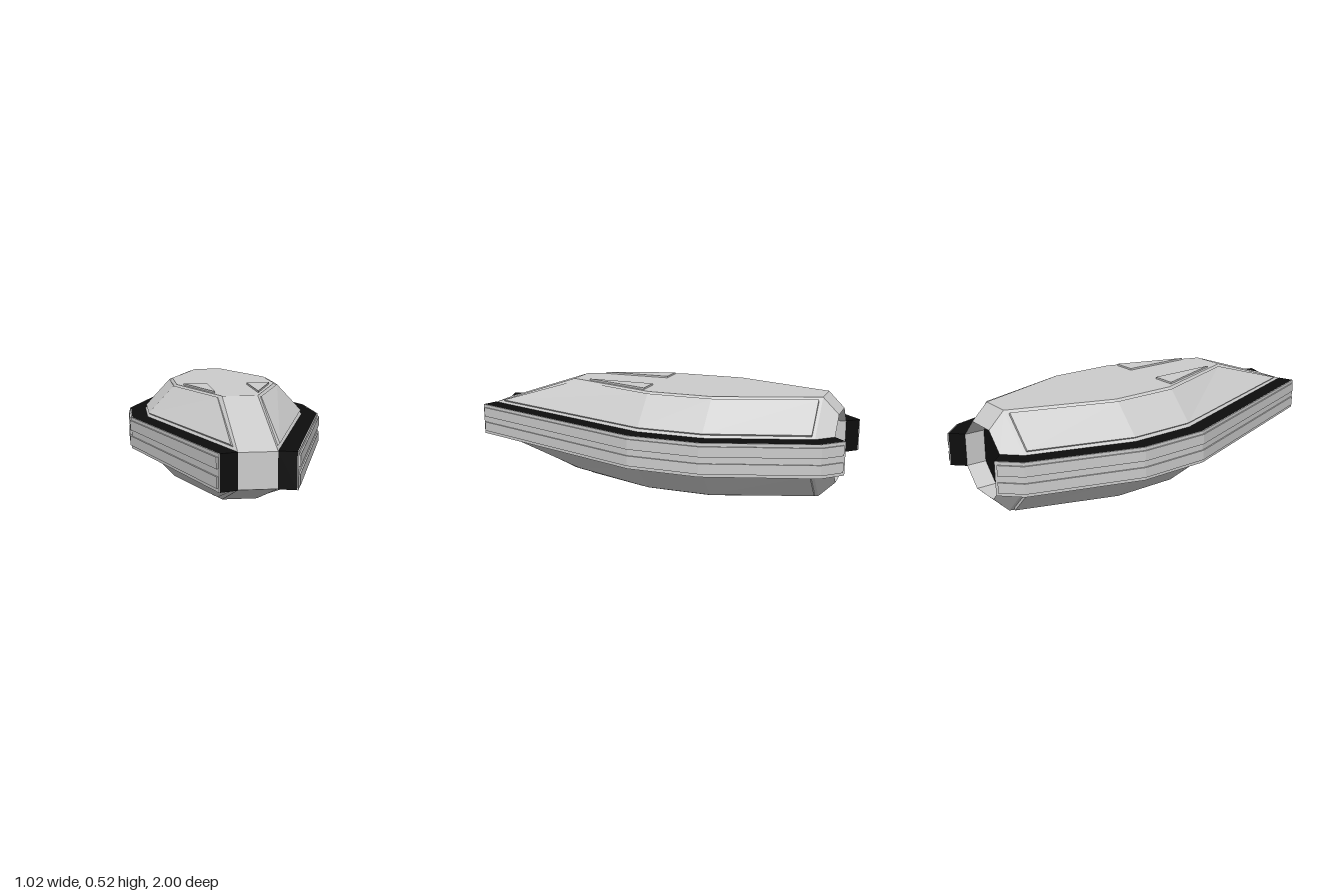
import * as THREE from 'three';

const grey = new THREE.MeshStandardMaterial({ color: 0xcccccc, flatShading: true, side: THREE.DoubleSide });
const black = new THREE.MeshStandardMaterial({ color: 0x0d0d0d, flatShading: true, side: THREE.DoubleSide });
const SIDES = [1, -1];
const MID = 0.26; // height of the symmetry plane

// Plan outlines (x, z), nose to tail, for the +x half
const rim = [[0.085, 0.97], [0.415, -0.03], [0.415, -0.36], [0.25, -0.86], [0.17, -0.94]];
const deck = [[0.085, 0.47], [0.26, -0.03], [0.26, -0.36], [0.08, -0.86]];
const RIM_Y = 0.08, DECK_Y = 0.25, TAIL_Y = 0.17;

const at = (y) => ([x, z]) => new THREE.Vector3(x, y, z);
const mirror = (sx, sy) => (p) => new THREE.Vector3(p.x * sx, p.y * sy, p.z);

// Convex polygons as flat faces, turned away from (or towards) the axis centre
function faces(polys, inward = false) {
  const pos = [];
  for (const poly of polys) {
    const n = new THREE.Vector3().subVectors(poly[1], poly[0])
      .cross(new THREE.Vector3().subVectors(poly[2], poly[0]));
    const mid = poly.reduce((s, p) => s.add(p), new THREE.Vector3()).divideScalar(poly.length);
    if (inward) mid.z = 0;
    const p = (n.dot(mid) < 0) !== inward ? [...poly].reverse() : poly;
    for (let i = 1; i < p.length - 1; i++) {
      for (const v of [p[0], p[i], p[i + 1]]) pos.push(v.x, v.y, v.z);
    }
  }
  const g = new THREE.BufferGeometry();
  g.setAttribute('position', new THREE.Float32BufferAttribute(pos, 3));
  g.computeVertexNormals();
  return g;
}

// Mitred offset of an open plan outline
function offset(path, d) {
  const normals = path.slice(1).map(([x, z], i) => {
    const dx = x - path[i][0], dz = z - path[i][1], l = Math.hypot(dx, dz);
    return [-dz / l, dx / l];
  });
  return path.map(([x, z], i) => {
    const a = normals[Math.max(i - 1, 0)], b = normals[Math.min(i, normals.length - 1)];
    const k = d / (1 + a[0] * b[0] + a[1] * b[1]);
    return [x + (a[0] + b[0]) * k, z + (a[1] + b[1]) * k];
  });
}

// Shorten both ends of an outline by a length
function trim(path, len) {
  const pull = (p, q) => {
    const k = len / Math.hypot(q[0] - p[0], q[1] - p[1]);
    return [p[0] + (q[0] - p[0]) * k, p[1] + (q[1] - p[1]) * k];
  };
  const n = path.length;
  return [pull(path[0], path[1]), ...path.slice(1, -1), pull(path[n - 1], path[n - 2])];
}

// Vertical slab from a plan outline
function slab(outline, sx, y0, y1) {
  const shape = new THREE.Shape(outline.map(([x, z]) => new THREE.Vector2(x * sx, -z)));
  return new THREE.ExtrudeGeometry(shape, { depth: y1 - y0, bevelEnabled: false })
    .rotateX(-Math.PI / 2).translate(0, y0, 0);
}

const band = (path, d0, d1, sx, y0, y1) =>
  slab([...offset(path, d0), ...offset(path, d1).reverse()], sx, y0, y1);

export function createModel() {
  const model = new THREE.Group();
  model.name = 'capsule';
  const body = new THREE.Group();
  body.name = 'body';
  body.position.y = MID;
  model.add(body);
  const add = (name, geometry, material = grey) => {
    const mesh = new THREE.Mesh(geometry, material);
    mesh.name = name;
    body.add(mesh);
  };

  // Faceted hull, reflected into all four quarters
  const R = rim.map(at(RIM_Y)), D = deck.map(at(DECK_Y));
  const tail = new THREE.Vector3(0.08, TAIL_Y, -0.94);
  const flipX = mirror(-1, 1), flipY = mirror(1, -1);
  const hull = [[R[0], flipX(R[0]), mirror(-1, -1)(R[0]), flipY(R[0])]];
  for (const sy of SIDES) {
    const m = mirror(1, sy);
    hull.push([...D, ...D.map(flipX).reverse()].map(m)); // deck
    hull.push([R[0], D[0], flipX(D[0]), flipX(R[0])].map(m)); // nose slope
    hull.push([D[3], tail, flipX(tail), flipX(D[3])].map(m)); // tail bevel
    for (const sx of SIDES) {
      const q = mirror(sx, sy);
      for (let i = 0; i < 3; i++) hull.push([D[i], D[i + 1], R[i + 1], R[i]].map(q));
      hull.push([D[3], tail, R[4], R[3]].map(q));
    }
  }
  for (const sx of SIDES) {
    for (let i = 0; i < 4; i++) {
      hull.push([R[i], R[i + 1], flipY(R[i + 1]), flipY(R[i])].map(mirror(sx, 1)));
    }
  }
  add('hull', faces(hull));

  // Octagonal recess in the tail with a dark back wall
  const quarter = [R[4], tail];
  const ring = [...quarter, ...quarter.map(flipX).reverse(),
    ...quarter.map(mirror(-1, -1)), ...quarter.map(flipY).reverse()];
  const deep = ring.map((p) => new THREE.Vector3(p.x, p.y, -0.84));
  add('tailRecess', faces(ring.map((p, i) => {
    const j = (i + 1) % ring.length;
    return [p, ring[j], deep[j], deep[i]];
  }), true));
  add('recessWall', faces([deep]), black);

  // Raised panels wrapped over the sloping sides
  const top = [[0.1, 0.45], [0.272, -0.03], [0.272, -0.36], [0.105, -0.845]].map(at(0.238));
  const low = [[0.1, 0.905], [0.404, -0.03], [0.404, -0.36], [0.246, -0.845]].map(at(0.096));
  const lift = new THREE.Vector3(0.005, 0.005, 0);
  const up = (p) => p.clone().add(lift);
  const down = (p) => p.clone().addScaledVector(lift, -1);
  const edge = [...top, ...[...low].reverse()];
  const panel = edge.map((p, i) => {
    const q = edge[(i + 1) % edge.length];
    return [up(p), up(q), down(q), down(p)];
  });
  for (let i = 0; i < 3; i++) panel.push([top[i], top[i + 1], low[i + 1], low[i]].map(up));

  for (const sx of SIDES) {
    const side = sx > 0 ? 'left' : 'right';
    // Dark rail, its grey outer skin and two raised strips
    add(side + 'Rail', band(rim, 0, 0.081, sx, -0.082, 0.082), black);
    add(side + 'RailSkin', band(rim, 0.081, 0.086, sx, -0.082, 0.082));
    for (const sy of SIDES) {
      const level = sy > 0 ? 'Upper' : 'Lower';
      const y = sy * 0.041;
      add(side + level + 'Strip', band(trim(rim, 0.012), 0.084, 0.093, sx, y - 0.025, y + 0.025));
      add(side + level + 'Panel', faces(panel.map((f) => f.map(mirror(sx, sy)))));
      // Triangular fin plate on the deck
      const base = sy > 0 ? 0.245 : -0.259;
      add(side + level + 'Triangle',
        slab([[0.105, 0.37], [0.105, 0.01], [0.227, 0.01]], sx, base, base + 0.014));
    }
  }
  return model;
}
